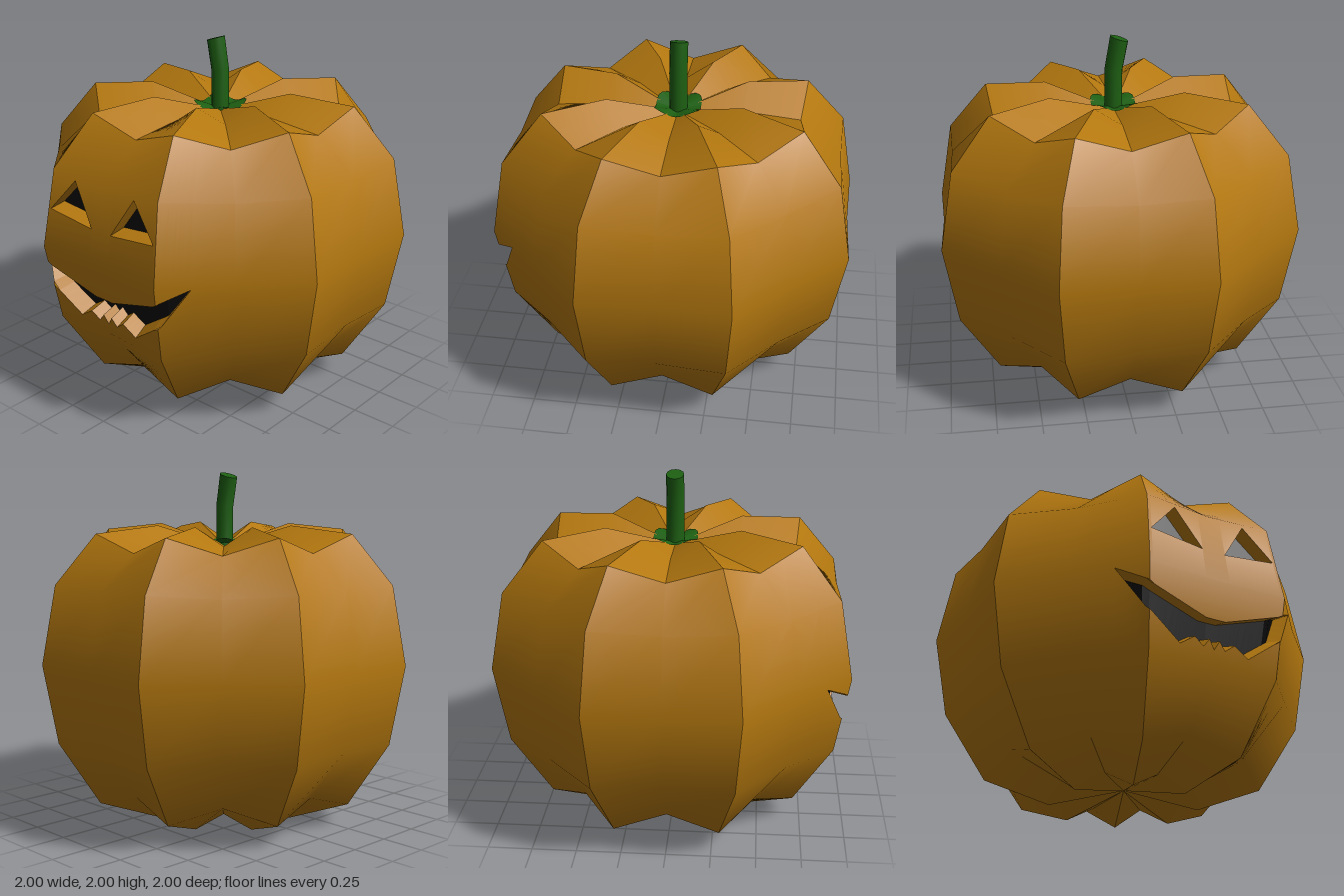
import * as THREE from 'three';

// Body rings from bottom pole to top pole: [radius, height]
const RIDGE = [[0, 0.1], [0.41, 0.005], [0.764, 0.13], [0.998, 0.5], [1.08, 0.95], [0.998, 1.39], [0.764, 1.665], [0.405, 1.705], [0, 1.58]];
const GROOVE = [[0, 0.1], [0.36, 0.09], [0.68, 0.22], [0.915, 0.52], [0.985, 0.95], [0.915, 1.37], [0.68, 1.57], [0.36, 1.6], [0, 1.58]];
const CREASE = Math.cos(0.6);

const orange = new THREE.MeshStandardMaterial({ color: 0xb4780f, side: THREE.DoubleSide });
const green = new THREE.MeshStandardMaterial({ color: 0x1d5f12, side: THREE.DoubleSide });
const black = new THREE.MeshStandardMaterial({ color: 0x0a0a0a, side: THREE.DoubleSide });

// Corner of the coarse body grid: column i (odd = ridge), ring j
function corner(i, j) {
  const [r, y] = (Math.abs(i) % 2 ? RIDGE : GROOVE)[j];
  const a = i * Math.PI / 8;
  return new THREE.Vector3(r * Math.sin(a), y, r * Math.cos(a));
}

function cellNormal(i, j) {
  const d1 = corner(i + 1, j + 1).sub(corner(i, j));
  const d2 = corner(i, j + 1).sub(corner(i + 1, j));
  return d1.cross(d2).normalize();
}

// Corner normal as seen from cell (i, j): smooth except over sharp ridges
function cornerNormal(i, j, ci, cj) {
  const own = cellNormal(i, j), sum = new THREE.Vector3();
  for (const a of [ci - 1, ci]) for (const b of [cj - 1, cj]) {
    if (b < 0 || b > 7) continue;
    const n = cellNormal(a, b);
    if (n.dot(own) > CREASE) sum.add(n);
  }
  return sum.normalize();
}

function blend(f, i, j, u, v) {
  const low = f(i, j).lerp(f(i + 1, j), u - i);
  return low.lerp(f(i, j + 1).lerp(f(i + 1, j + 1), u - i), v - j);
}

function surface(u, v) {
  return blend(corner, Math.floor(u), Math.min(7, Math.floor(v)), u, v);
}

function bisect(f, target, lo, hi) {
  for (let k = 0; k < 30; k++) {
    const mid = (lo + hi) / 2;
    if (f(mid) < target) lo = mid; else hi = mid;
  }
  return (lo + hi) / 2;
}

// Front x, y to surface coordinates u, v
function locate([x, y]) {
  let u = 0, v = 4;
  for (let k = 0; k < 8; k++) {
    v = bisect(t => surface(u, t).y, y, 2, 6);
    u = bisect(t => surface(t, v).x, x, -1.99, 1.99);
  }
  return [u, v];
}

// Edge chain of a cut-out, subdivided so it follows the surface
function chain(points) {
  const out = [locate(points[0])];
  for (let k = 1; k < points.length; k++) {
    const [a, b] = [points[k - 1], points[k]];
    for (let s = 1; s <= 4; s++) {
      out.push(locate([a[0] + (b[0] - a[0]) * s / 4, a[1] + (b[1] - a[1]) * s / 4]));
    }
  }
  return out;
}

function heightAt(line, u) {
  for (let k = 1; k < line.length; k++) {
    const [a, b] = [line[k - 1], line[k]];
    if (u <= b[0]) return a[1] + (b[1] - a[1]) * Math.max(0, u - a[0]) / Math.max(1e-9, b[0] - a[0]);
  }
  return line[line.length - 1][1];
}

const mirror = pts => pts.map(([x, y]) => [-x, y]).reverse();

function makeHole(name, top, bottom, cx, cy) {
  return { name, cx, cy, top: chain(top), bottom: chain(bottom) };
}

function makeHoles() {
  const eyeTop = [[0.07, 1.135], [0.215, 1.36], [0.38, 1.17]];
  const eyeBottom = [eyeTop[0], eyeTop[2]];
  const lipHalf = [[0.06, 0.742], [0.38, 0.838], [0.54, 0.94]];
  const teethHalf = [[0.03, 0.635], [0.065, 0.59], [0.12, 0.63], [0.205, 0.575], [0.41, 0.72], [0.54, 0.94]];
  return [
    makeHole('leftEye', eyeTop, eyeBottom, 0.22, 1.36),
    makeHole('rightEye', mirror(eyeTop), mirror(eyeBottom), -0.22, 1.36),
    makeHole('mouth', [...mirror(lipHalf), ...lipHalf], [...mirror(teethHalf), [0, 0.585], ...teethHalf], 0, 0.94),
  ];
}

function mesh(name, positions, material, normals) {
  const g = new THREE.BufferGeometry();
  g.setAttribute('position', new THREE.Float32BufferAttribute(positions, 3));
  if (normals) g.setAttribute('normal', new THREE.Float32BufferAttribute(normals, 3));
  else g.computeVertexNormals();
  const m = new THREE.Mesh(g, material);
  m.name = name;
  return m;
}

const addQuad = (out, a, b, c, d) => [a, b, c, a, c, d].forEach(p => out.push(p.x, p.y, p.z));

// Ribbed shell built in upright strips that stop at the cut-outs
function makeShell(holes) {
  const cuts = [];
  for (let i = -8; i <= 8; i++) cuts.push(i);
  for (const h of holes) for (const p of [...h.top, ...h.bottom]) cuts.push(p[0]);
  cuts.sort((a, b) => a - b);
  const us = cuts.filter((u, k) => k === 0 || u - cuts[k - 1] > 1e-5);
  const positions = [], normals = [];
  for (let k = 1; k < us.length; k++) {
    const l = us[k - 1], r = us[k], mid = (l + r) / 2, i = Math.floor(mid);
    const open = holes.filter(h => mid > h.top[0][0] && mid < h.top[h.top.length - 1][0])
      .sort((a, b) => heightAt(a.top, mid) - heightAt(b.top, mid));
    const ends = [[0, 0]];
    for (const h of open) for (const e of [h.bottom, h.top]) ends.push([heightAt(e, l), heightAt(e, r)]);
    ends.push([8, 8]);
    for (let e = 0; e < ends.length; e += 2) for (let j = 0; j < 8; j++) {
      const at = (side, v) => Math.min(Math.max(v, ends[e][side]), ends[e + 1][side]);
      const [a, b, c, d] = [at(0, j), at(1, j), at(1, j + 1), at(0, j + 1)];
      if (d - a < 1e-6 && c - b < 1e-6) continue;
      const uv = [[l, a], [r, b], [r, c], [l, d]];
      addQuad(positions, ...uv.map(([u, v]) => blend(corner, i, j, u, v)));
      addQuad(normals, ...uv.map(([u, v]) =>
        blend((ci, cj) => cornerNormal(i, j, ci, cj), i, j, u, v).normalize()));
    }
  }
  return mesh('shell', positions, orange, normals);
}

// Tapered walls of a cut-out and the dark inside behind it
function makeCutout(h) {
  const inner = p => new THREE.Vector3(h.cx + (p.x - h.cx) * 0.93, h.cy + (p.y - h.cy) * 0.9, p.z - 0.09);
  const walls = [], dark = [];
  for (const line of [h.top, h.bottom]) for (let k = 1; k < line.length; k++) {
    const a = surface(...line[k - 1]), b = surface(...line[k]);
    addQuad(walls, a, b, inner(b), inner(a));
  }
  const us = [...h.top, ...h.bottom].map(p => p[0]).sort((a, b) => a - b);
  const at = (line, u) => inner(surface(u, heightAt(line, u)));
  for (let k = 1; k < us.length; k++) {
    if (us[k] - us[k - 1] < 1e-5) continue;
    addQuad(dark, at(h.bottom, us[k - 1]), at(h.bottom, us[k]), at(h.top, us[k]), at(h.top, us[k - 1]));
  }
  const group = new THREE.Group();
  group.name = h.name;
  group.add(mesh(h.name + 'Walls', walls, orange), mesh(h.name + 'Inside', dark, black));
  return group;
}

// Bent stem with a slanted top, on a scalloped base
function makeStem() {
  const group = new THREE.Group();
  group.name = 'stem';
  const g = new THREE.CylinderGeometry(0.05, 0.05, 1, 12, 2);
  const p = g.attributes.position;
  for (let k = 0; k < p.count; k++) {
    const x = p.getX(k), y = p.getY(k);
    if (y > 0.1) p.setXYZ(k, x - 0.032, 1.984 + x * 0.32, p.getZ(k));
    else p.setY(k, y < -0.1 ? 1.58 : 1.808 + x * 0.12);
  }
  g.computeVertexNormals();
  const stalk = new THREE.Mesh(g, green);
  stalk.name = 'stalk';

  const base = [], centre = new THREE.Vector3(0, 1.59, 0);
  const rim = k => {
    const a = k * Math.PI / 16, lobe = (1 - Math.cos(k * Math.PI / 4)) / 2;
    const r = 0.125 + 0.023 * lobe;
    return new THREE.Vector3(r * Math.sin(a), 1.605 + 0.03 * lobe, r * Math.cos(a));
  };
  for (let k = 0; k < 32; k++) [centre, rim(k), rim(k + 1)].forEach(v => base.push(v.x, v.y, v.z));
  group.add(stalk, mesh('stemBase', base, green));
  return group;
}

export function createModel() {
  const model = new THREE.Group();
  model.name = 'carvedPumpkin';
  const holes = makeHoles();
  model.add(makeShell(holes), ...holes.map(makeCutout), makeStem());
  return model;
}
